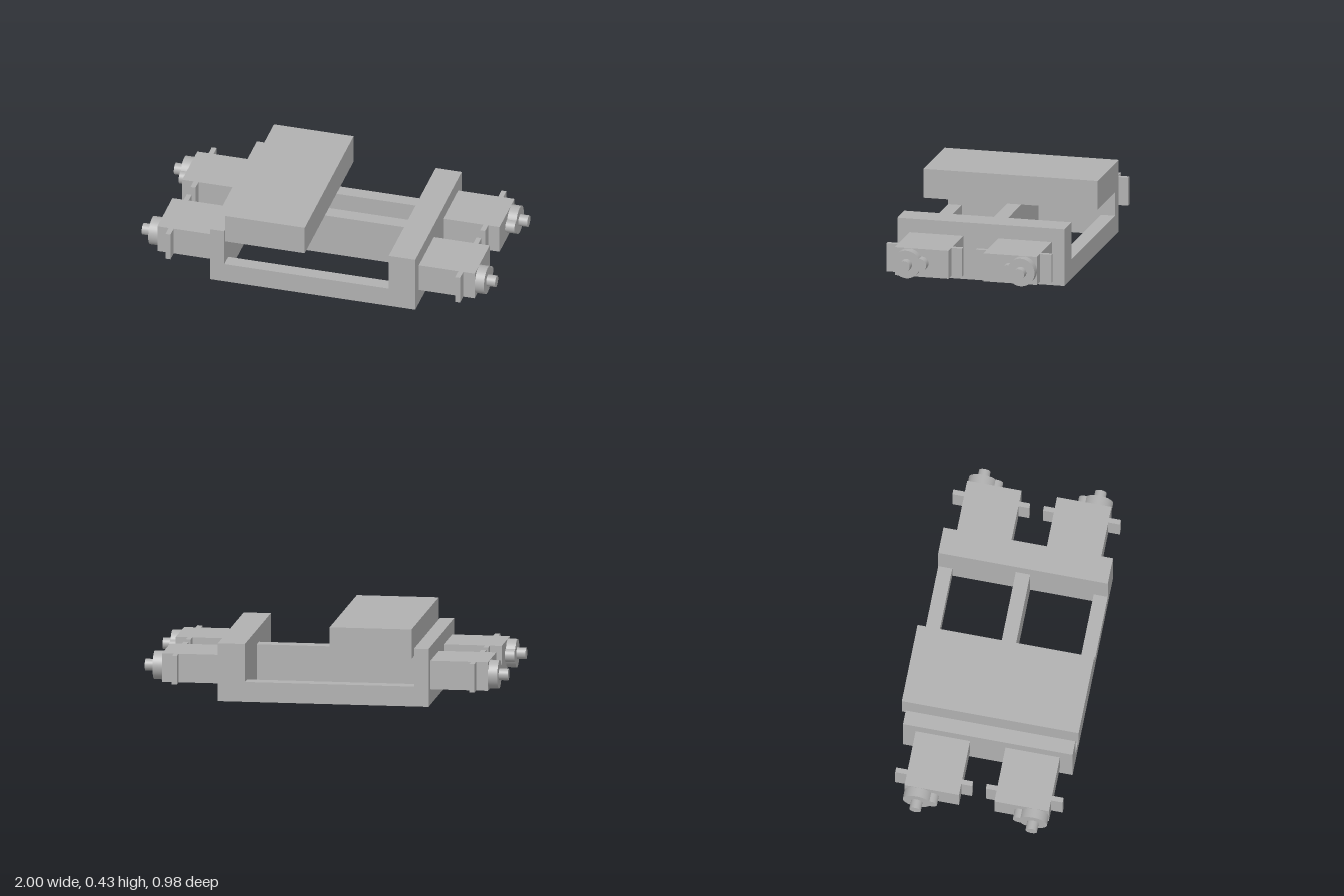
import * as THREE from 'three';

export function createModel() {
  const model = new THREE.Group();
  const grey = new THREE.MeshStandardMaterial({ color: 0xb0b0b0 });
  grey.name = 'plain grey';

  // Box given by its extents on each axis
  function box(parent, name, x0, x1, y0, y1, z0, z1) {
    const mesh = new THREE.Mesh(
      new THREE.BoxGeometry(Math.abs(x1 - x0), y1 - y0, Math.abs(z1 - z0)), grey);
    mesh.position.set((x0 + x1) / 2, (y0 + y1) / 2, (z0 + z1) / 2);
    mesh.name = name;
    parent.add(mesh);
  }

  // Cylinder lying along x
  function disc(parent, name, radius, x0, x1, y, z) {
    const geometry = new THREE.CylinderGeometry(radius, radius, Math.abs(x1 - x0), 40);
    geometry.rotateZ(Math.PI / 2);
    const mesh = new THREE.Mesh(geometry, grey);
    mesh.position.set((x0 + x1) / 2, y, z);
    mesh.name = name;
    parent.add(mesh);
  }

  // Frame: two tall side walls joined by low rails and a taller middle beam
  const frame = new THREE.Group();
  frame.name = 'frame';
  box(frame, 'rightWall', -0.58, -0.5, 0, 0.32, -0.466, 0.474);
  box(frame, 'leftWall', 0.43, 0.58, 0, 0.32, -0.466, 0.474);
  box(frame, 'frontRail', -0.5, 0.43, 0, 0.11, 0.396, 0.474);
  box(frame, 'backRail', -0.5, 0.43, 0, 0.11, -0.466, -0.388);
  box(frame, 'middleBeam', -0.5, 0.43, 0, 0.24, -0.036, 0.044);
  model.add(frame);

  // Raised block above the frame
  box(model, 'topBlock', -0.49, -0.04, 0.267, 0.43, -0.49, 0.49);

  // Four servo motors, mirrored across both axes
  const midZ = 0.004, y = 0.164;
  for (const sx of [-1, 1]) {
    for (const sz of [-1, 1]) {
      const servo = new THREE.Group();
      servo.name = (sz > 0 ? 'front' : 'back') + (sx > 0 ? 'Left' : 'Right') + 'Servo';
      const z = (d) => midZ + sz * d;
      box(servo, 'servoBody', sx * 0.58, sx * 0.898, 0.085, 0.243, z(0.098), z(0.4));
      box(servo, 'mountingFlange', sx * 0.806, sx * 0.834, 0.085, 0.243, z(0.038), z(0.464));
      disc(servo, 'gearHousing', 0.078, sx * 0.898, sx * 0.95, y, z(0.322));
      disc(servo, 'smallGearHousing', 0.036, sx * 0.898, sx * 0.95, y, z(0.246));
      disc(servo, 'outputShaft', 0.032, sx * 0.95, sx * 1, y, z(0.322));
      model.add(servo);
    }
  }
  return model;
}
